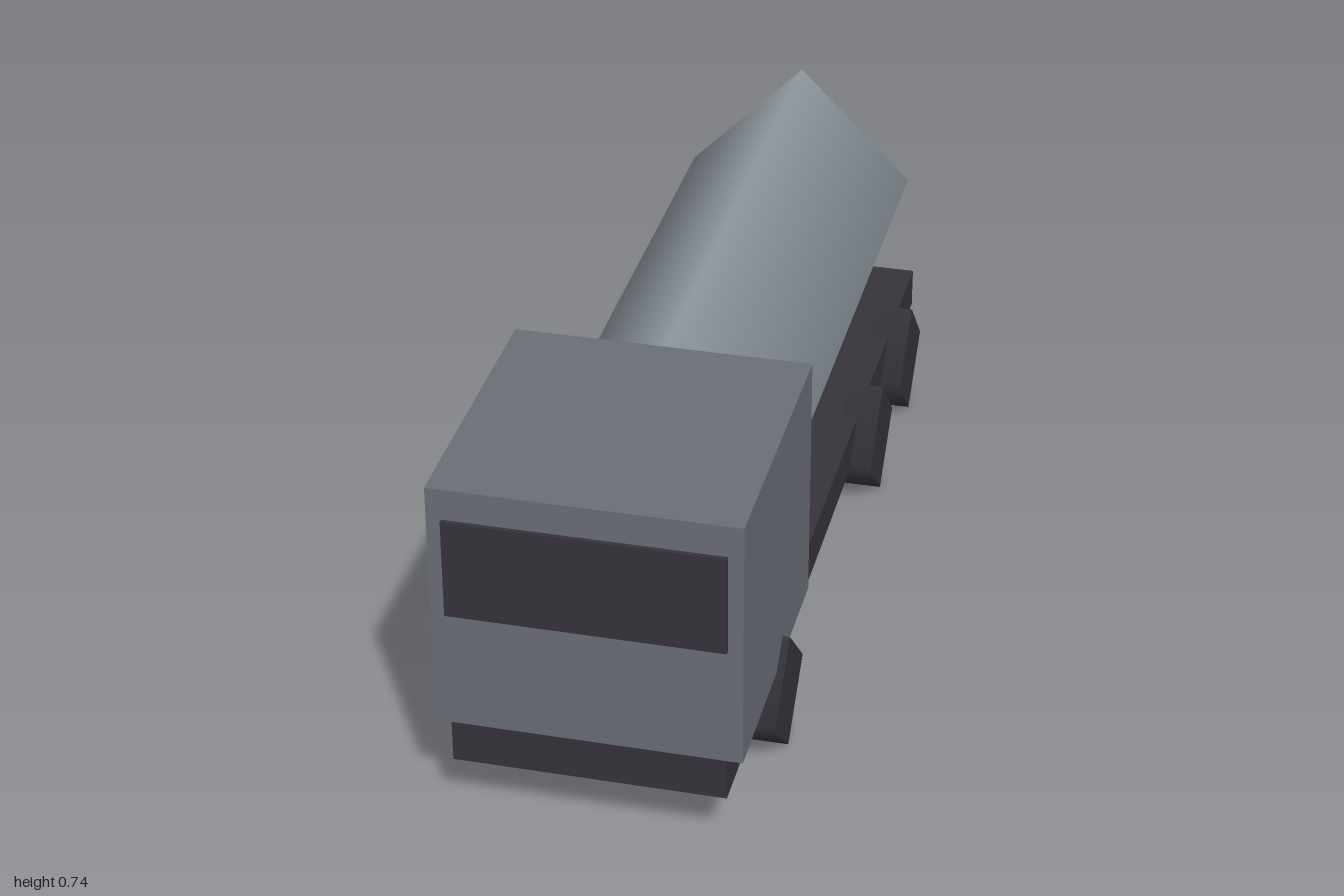
import * as THREE from 'three';

export function createModel() {
  const truck = new THREE.Group();
  truck.name = 'tankerTruck';

  const material = (name, color) => {
    const m = new THREE.MeshStandardMaterial({ color });
    m.name = name;
    return m;
  };
  const cabGrey = material('cabGrey', 0x6a6e78);
  const tankGrey = material('tankGrey', 0x8d969e);
  const darkGrey = material('darkGrey', 0x36343b);

  const add = (name, geometry, mat, x, y, z) => {
    const mesh = new THREE.Mesh(geometry, mat);
    mesh.name = name;
    mesh.position.set(x, y, z);
    truck.add(mesh);
  };
  const box = (w, h, d) => new THREE.BoxGeometry(w, h, d);

  // Flat bed, cab and windscreen plate
  add('chassis', box(0.546, 0.09, 1.99), darkGrey, 0, 0.167, -0.005);
  add('cab', box(0.608, 0.531, 0.609), cabGrey, 0, 0.4775, 0.6865);
  add('windscreen', box(0.548, 0.211, 0.009), darkGrey, 0, 0.5715, 0.9955);

  // Four-sided, smooth-shaded tank resting on its lower edge
  const tank = new THREE.CylinderGeometry(0.258, 0.258, 1.325, 4).rotateX(Math.PI / 2);
  add('tank', tank, tankGrey, 0, 0.469, -0.309);

  // Three pairs of four-sided wheels
  const wheel = new THREE.CylinderGeometry(0.132, 0.132, 0.083, 4).rotateZ(Math.PI / 2);
  [['front', 0.635], ['middle', -0.36], ['rear', -0.722]].forEach(([place, z]) => {
    add(place + 'LeftWheel', wheel, darkGrey, 0.2775, 0.132, z);
    add(place + 'RightWheel', wheel, darkGrey, -0.2775, 0.132, z);
  });

  return truck;
}
